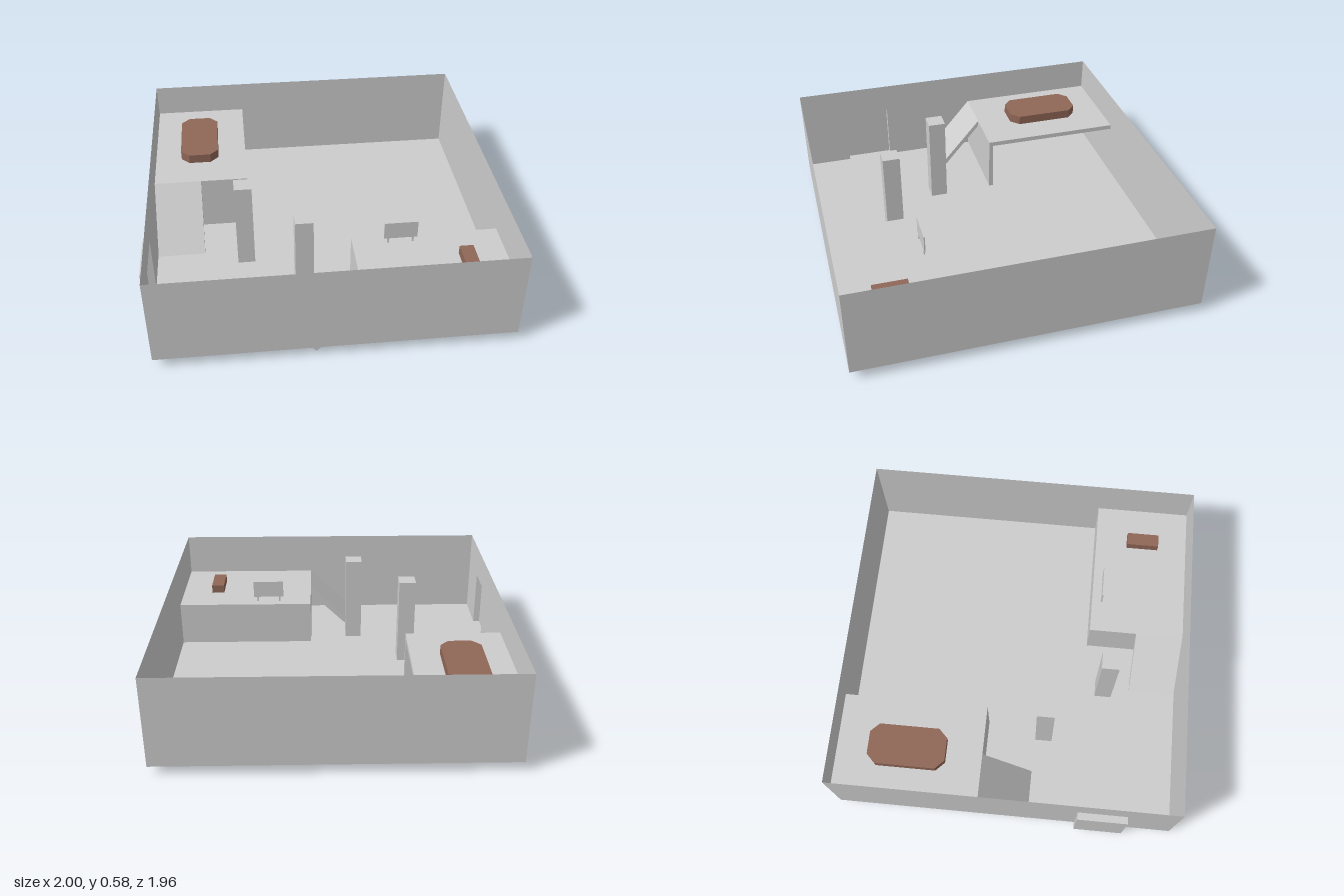
import * as THREE from 'three';

export function createModel() {
  const model = new THREE.Group();
  const gray = new THREE.MeshStandardMaterial({ color: 0xcccccc, side: THREE.DoubleSide });
  gray.name = 'light gray';
  const brown = new THREE.MeshStandardMaterial({ color: 0x8f6656 });
  brown.name = 'brown';

  const FLOOR = 0.055, TOP = 0.58, X0 = -0.96, X1 = 1, Z = 0.978;

  const add = (name, geometry, material = gray) => {
    const mesh = new THREE.Mesh(geometry, material);
    mesh.name = name;
    model.add(mesh);
    return mesh;
  };
  // box given by its limits on each axis
  const box = (name, x0, x1, y0, y1, z0, z1, material) =>
    add(name, new THREE.BoxGeometry(x1 - x0, y1 - y0, z1 - z0)
      .translate((x0 + x1) / 2, (y0 + y1) / 2, (z0 + z1) / 2), material);
  const outline = pts => new THREE.Shape(pts.map(p => new THREE.Vector2(...p)));
  const sheet = pts => new THREE.ShapeGeometry(outline(pts));
  const rect = (a0, a1, b0, b1) => [[a0, b0], [a1, b0], [a1, b1], [a0, b1]];
  const solid = (pts, depth) => new THREE.ExtrudeGeometry(outline(pts), { depth, bevelEnabled: false });

  // floor, cut away under the low platform
  const px = 0.16, pz = 0.417, py = 0.325;
  add('floor', sheet([[X0, -Z], [X1, -Z], [X1, pz], [px, pz], [px, Z], [X0, Z]])
    .rotateX(Math.PI / 2).translate(0, FLOOR, 0));

  // thin outer walls
  const longWall = rect(X0, X1, FLOOR, TOP);
  add('frontWall', sheet(longWall).translate(0, 0, Z));
  add('backWall', sheet(longWall).rotateY(Math.PI).translate(X0 + X1, 0, -Z));
  add('leftWall', sheet(rect(-Z, Z, FLOOR, TOP)).rotateY(Math.PI / 2).translate(X1, 0, 0));
  const d0 = 0.417, d1 = 0.697, dy = 0.4;
  add('rightWall', sheet([[-Z, FLOOR], [d0, FLOOR], [d0, dy], [d1, dy], [d1, FLOOR], [Z, FLOOR], [Z, TOP], [-Z, TOP]])
    .rotateY(-Math.PI / 2).translate(X0, 0, 0));

  // doorway niche outside the right wall
  add('nicheBack', sheet(rect(d0, d1, FLOOR, dy)).rotateY(-Math.PI / 2).translate(-1, 0, 0));
  for (const z of [d0, d1]) add('nicheSide', sheet(rect(-1, X0, FLOOR, dy)).translate(0, 0, z));
  for (const y of [FLOOR, dy]) add('nicheCap', sheet(rect(-1, X0, d0, d1)).rotateX(Math.PI / 2).translate(0, y, 0));

  // high platform: slab carried by one wall, open at the side
  box('highPlatformSlab', X0 + 0.002, -0.4, 0.36, 0.388, -Z + 0.002, -0.145);
  box('highPlatformWall', X0 + 0.002, -0.4, FLOOR, 0.36, -0.17, -0.145);

  // low platform: shell open underneath
  add('lowPlatformTop', sheet(rect(px, X1, pz, Z)).rotateX(Math.PI / 2).translate(0, py, 0));
  add('lowPlatformBack', sheet(rect(px, X1, FLOOR, py)).translate(0, 0, pz));
  add('lowPlatformSide', sheet(rect(pz, Z, FLOOR, py)).rotateY(-Math.PI / 2).translate(px, 0, 0));

  // ramps, their lower edges dipping through the floor
  add('highRamp', solid([[-0.145, 0.388], [-0.163, 0.373], [0.122, 0.038], [0.14, FLOOR]], 0.278)
    .rotateY(-Math.PI / 2).translate(-0.68, 0, 0));
  add('lowRamp', solid([[px, py], [-0.12, FLOOR], [-0.095, 0.028], [0.185, 0.298]], 0.278)
    .translate(0, 0, 0.698));

  // pillars
  for (const [x, z] of [[-0.434, 0.195], [-0.12, 0.537]])
    box('pillar', x - 0.05, x + 0.05, 0, 0.585, z - 0.05, z + 0.05);

  // sign board on two legs
  box('signBoard', 0.337, 0.527, 0.355, 0.46, 0.47, 0.477);
  for (const x of [0.362, 0.502]) box('signLeg', x - 0.005, x + 0.005, py, 0.355, 0.47, 0.477);

  // brown blocks on the platforms
  const a0 = -0.8, a1 = -0.57, b0 = -0.79, b1 = -0.35, c = 0.05;
  add('octagonalBlock', solid([[a0 + c, b0], [a1 - c, b0], [a1, b0 + c], [a1, b1 - c],
    [a1 - c, b1], [a0 + c, b1], [a0, b1 - c], [a0, b0 + c]], 0.055)
    .rotateX(Math.PI / 2).translate(0, 0.443, 0), brown);
  box('smallBlock', 0.735, 0.813, py, 0.376, 0.608, 0.8, brown);

  return model;
}
